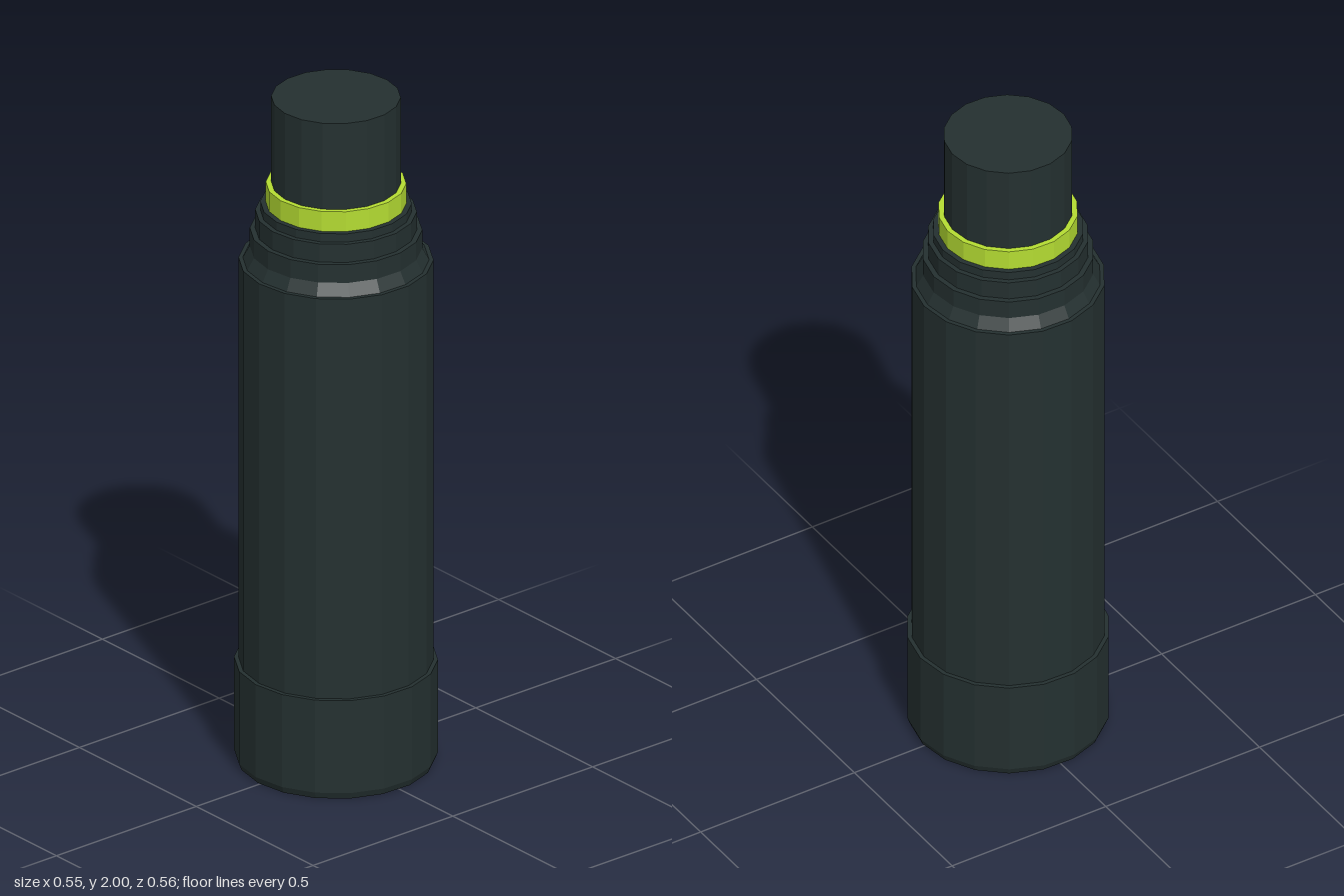
import * as THREE from 'three';

const SIDES = 18;
const TWIST = -0.031; // slight turn of the facets about the axis

// Faceted turned part from [radius, height] points, bottom to top
function turned(name, profile, material) {
  const points = profile.map(([r, y]) => new THREE.Vector2(r, y));
  const geometry = new THREE.LatheGeometry(points, SIDES, TWIST).toNonIndexed();
  geometry.computeVertexNormals();
  const mesh = new THREE.Mesh(geometry, material);
  mesh.name = name;
  return mesh;
}

export function createModel() {
  const dark = new THREE.MeshStandardMaterial({ color: 0x243030 });
  dark.name = 'dark slate';
  const lime = new THREE.MeshStandardMaterial({ color: 0xb4dc32 });
  lime.name = 'lime';

  const model = new THREE.Group();
  model.name = 'flask';
  model.add(
    // Base cup with a small bevel underneath
    turned('baseCup', [[0, 0], [0.272, 0], [0.28, 0.02], [0.28, 0.3], [0.268, 0.3]], dark),
    // Long body with a narrow ledge on top
    turned('body', [[0.268, 0.3], [0.268, 1.51], [0.256, 1.51]], dark),
    // Sloped shoulder and two steps
    turned('shoulder', [[0.256, 1.51], [0.237, 1.545], [0.237, 1.6], [0.222, 1.6]], dark),
    turned('lowerCollar', [[0.222, 1.6], [0.222, 1.655], [0.208, 1.655]], dark),
    turned('upperCollar', [[0.208, 1.655], [0.208, 1.68], [0.193, 1.68]], dark),
    // Coloured band below the cap
    turned('band', [[0.193, 1.68], [0.193, 1.74], [0.178, 1.74]], lime),
    turned('cap', [[0.178, 1.74], [0.178, 2], [0, 2]], dark)
  );
  return model;
}
